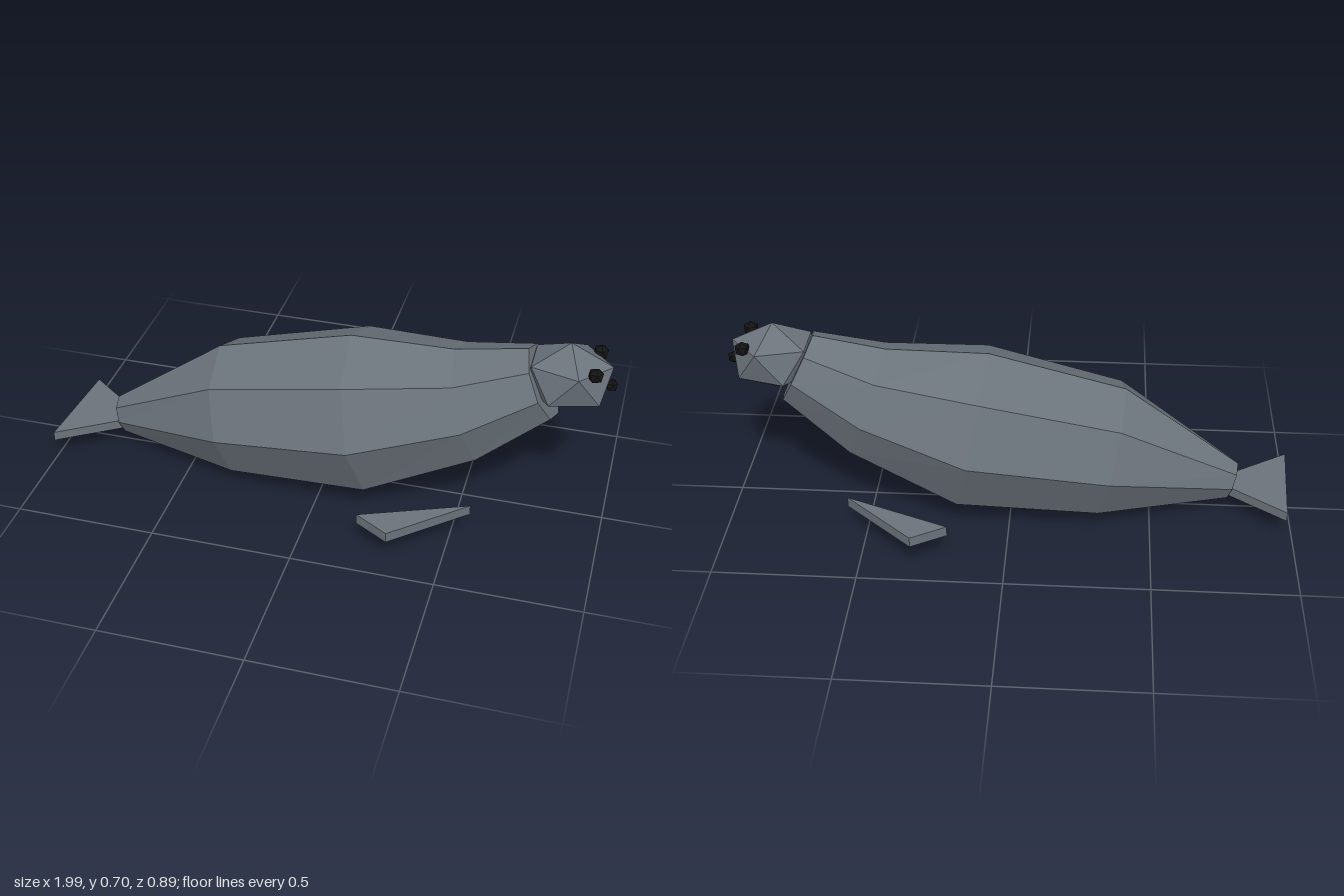
import * as THREE from 'three';

const skin = new THREE.MeshStandardMaterial({ color: 0x6b737b, flatShading: true });
skin.name = 'grey skin';
const dark = new THREE.MeshStandardMaterial({ color: 0x141415, flatShading: true });
dark.name = 'black';

const SIDES = 8;

// Octagonal body rings along the spine: top x, top y, bottom x, bottom y, half width
const RINGS = [
  [-0.81, 0.19, -0.77, 0.05, 0.065],
  [-0.40, 0.485, -0.30, 0.003, 0.247],
  [0.08, 0.61, 0.20, 0.03, 0.295],
  [0.44, 0.615, 0.58, 0.22, 0.21],
  [0.69, 0.66, 0.81, 0.42, 0.134],
];

function bodyGeometry() {
  const positions = [];
  const index = [];
  for (const [tx, ty, bx, by, w] of RINGS) {
    for (let i = 0; i < SIDES; i++) {
      const a = (i / SIDES) * Math.PI * 2;
      const c = Math.cos(a) / 2;
      positions.push((tx + bx) / 2 + (tx - bx) * c, (ty + by) / 2 + (ty - by) * c, w * Math.sin(a));
    }
  }
  for (let r = 0; r < RINGS.length - 1; r++) {
    for (let i = 0; i < SIDES; i++) {
      const a = r * SIDES + i;
      const b = r * SIDES + ((i + 1) % SIDES);
      index.push(a, b, a + SIDES, b, b + SIDES, a + SIDES);
    }
  }
  // Flat caps at the tail and the neck
  const last = (RINGS.length - 1) * SIDES;
  for (let i = 1; i < SIDES - 1; i++) {
    index.push(0, i + 1, i, last, last + i, last + i + 1);
  }
  const indexed = new THREE.BufferGeometry();
  indexed.setAttribute('position', new THREE.Float32BufferAttribute(positions, 3));
  indexed.setIndex(index);
  const geometry = indexed.toNonIndexed();
  geometry.computeVertexNormals();
  return geometry;
}

// Horizontal slab from [x, z] corners
function slab(corners, y0, y1) {
  const shape = new THREE.Shape(corners.map(([x, z]) => new THREE.Vector2(x, -z)));
  const geometry = new THREE.ExtrudeGeometry(shape, { depth: y1 - y0, bevelEnabled: false });
  return geometry.rotateX(-Math.PI / 2).translate(0, y0, 0);
}

// Icosahedron standing on a corner, with an upper corner facing +x
function gem(rx, ry, rz) {
  const tilt = Math.atan(2 / (1 + Math.sqrt(5)));
  return new THREE.IcosahedronGeometry(1, 0).rotateZ(-tilt).scale(rx, ry, rz);
}

export function createModel() {
  const model = new THREE.Group();
  model.name = 'seal';

  const add = (name, geometry, material, x = 0, y = 0, z = 0) => {
    const mesh = new THREE.Mesh(geometry, material);
    mesh.name = name;
    mesh.position.set(x, y, z);
    model.add(mesh);
  };

  add('body', bodyGeometry(), skin);
  add('head', gem(0.163, 0.128, 0.135), skin, 0.828, 0.578, 0);
  add('nose', gem(0.023, 0.023, 0.023), dark, 0.973, 0.565, 0);
  add('tailFin', slab([[-0.72, 0], [-0.975, -0.188], [-1, 0.182]], 0.08, 0.115), skin);

  // Eyes and flippers on both sides
  for (const [side, s] of [['near', 1], ['far', -1]]) {
    add(side + 'Eye', gem(0.028, 0.028, 0.028), dark, 0.922, 0.64, s * 0.074);
    const corners = [[0.2, s * 0.373], [0.32, s * 0.444], [0.565, s * 0.224]];
    add(side + 'Flipper', slab(corners, 0.101, 0.138), skin);
  }
  return model;
}
